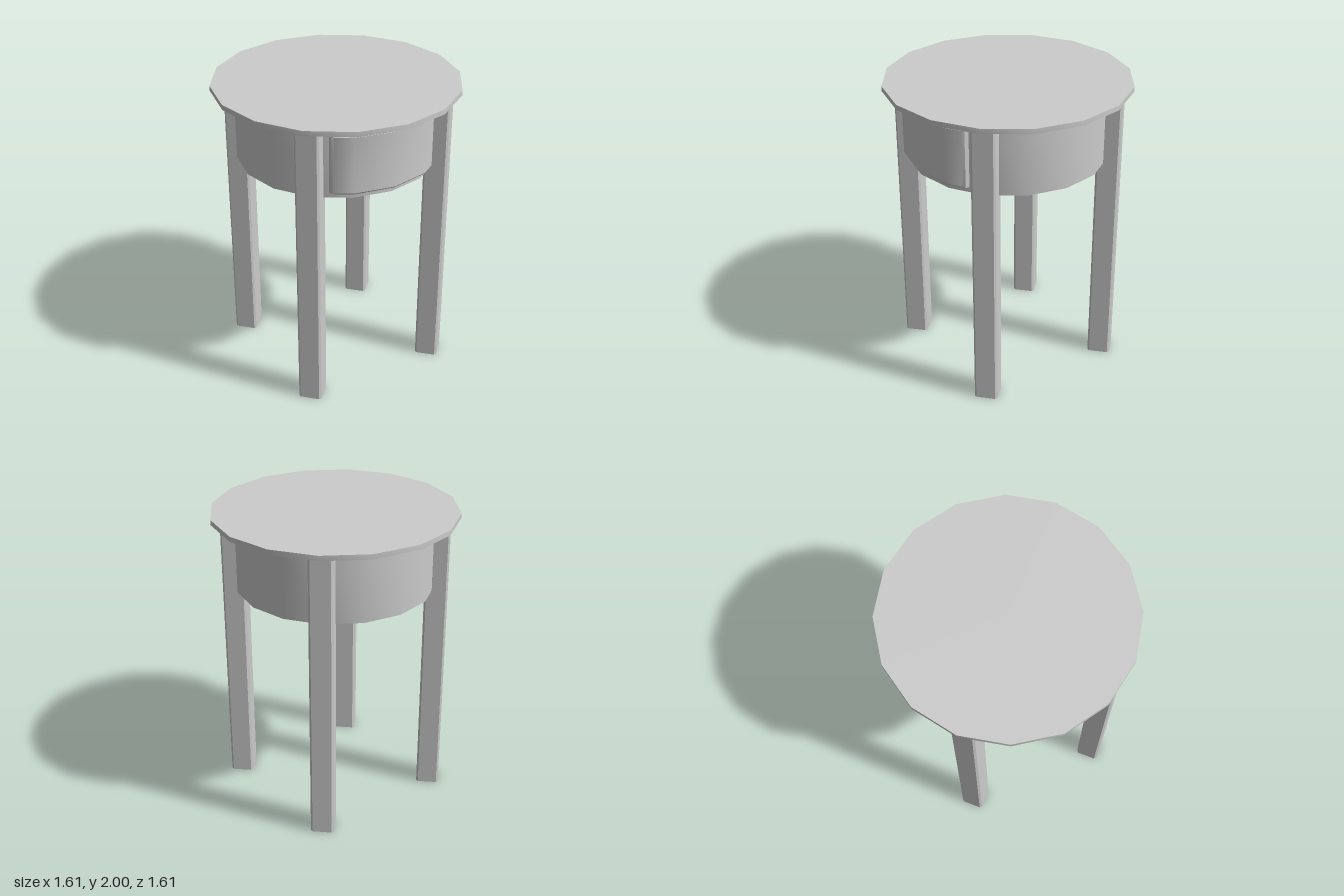
import * as THREE from 'three';
import { toCreasedNormals } from 'three/addons/utils/BufferGeometryUtils.js';

const material = new THREE.MeshStandardMaterial({ color: 0xcccccc });

function part(name, geometry) {
  const mesh = new THREE.Mesh(toCreasedNormals(geometry, 0.45), material);
  mesh.name = name;
  return mesh;
}

// 16-sided turned solid; profile runs from the bottom centre to the top centre
function turned(name, profile) {
  const points = profile.map(([r, y]) => new THREE.Vector2(r, y));
  return part(name, new THREE.LatheGeometry(points, 16));
}

// Square post with chamfered corners, corners pointing along x and z
function legGeometry(height) {
  const d = 0.108, c = 0.009;
  const shape = new THREE.Shape([
    [d - c, -c], [d - c, c], [c, d - c], [-c, d - c],
    [-d + c, c], [-d + c, -c], [-c, -d + c], [c, -d + c],
  ].map(([x, y]) => new THREE.Vector2(x, y)));
  const geometry = new THREE.ExtrudeGeometry(shape, { depth: height, bevelEnabled: false });
  return geometry.rotateX(-Math.PI / 2);
}

// Panel following the facets of the drum, with a small bevel round its face
function drawerGeometry() {
  const columns = [-0.37, -0.36, -0.262, 0, 0.262, 0.36, 0.37];
  const rows = [1.525, 1.535, 1.905, 1.915];
  const geometry = new THREE.BoxGeometry(6, 3, 1, 6, 3, 1);
  const p = geometry.attributes.position;
  for (let i = 0; i < p.count; i++) {
    const col = Math.round(p.getX(i) + 3), row = Math.round(p.getY(i) + 1.5);
    const x = columns[col], a = Math.abs(x);
    const face = a <= 0.262 ? 0.685 - 0.199 * a : 0.633 - 0.668 * (a - 0.262);
    const rim = col === 0 || col === 6 || row === 0 || row === 3;
    p.setXYZ(i, x, rows[row], p.getZ(i) > 0 ? face - (rim ? 0.008 : 0) : 0.48);
  }
  return geometry;
}

export function createModel() {
  const table = new THREE.Group();
  table.name = 'roundSideTable';

  // Thin top with a slightly tapered underside
  table.add(turned('tableTop', [[0, 1.95], [0.655, 1.952], [0.805, 1.967], [0.805, 2], [0, 2]]));

  // Drum with a shallow domed bottom
  table.add(turned('drum', [[0, 1.34], [0.36, 1.377], [0.655, 1.49], [0.655, 1.96], [0, 1.96]]));

  table.add(part('drawerFront', drawerGeometry()));

  // Four legs on the diagonals
  for (const [x, xName] of [[1, 'Left'], [-1, 'Right']]) {
    for (const [z, zName] of [[1, 'front'], [-1, 'back']]) {
      const leg = part(`${zName}${xName}Leg`, legGeometry(1.96));
      leg.position.set(x * 0.472, 0, z * 0.472);
      table.add(leg);
    }
  }
  return table;
}
